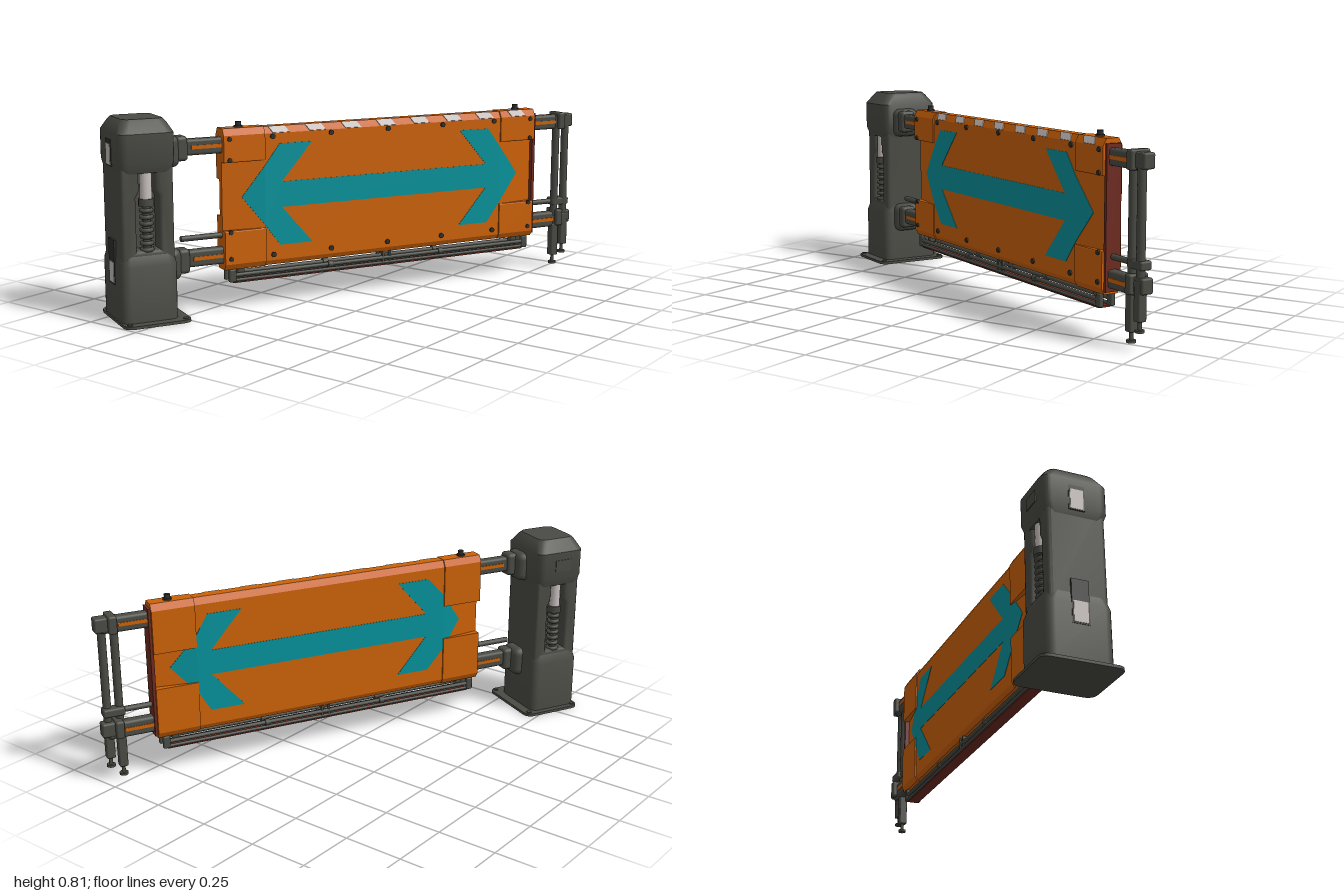
import * as THREE from 'three';
import { toCreasedNormals } from 'three/addons/utils/BufferGeometryUtils.js';
import { RoundedBoxGeometry } from 'three/addons/geometries/RoundedBoxGeometry.js';

function mat(name, color) {
  const m = new THREE.MeshStandardMaterial({ color });
  m.name = name;
  return m;
}
const grey = mat('steelGrey', 0x4a4b44), dark = mat('darkMetal', 0x2e2f2b), orange = mat('orange', 0xcc6106);
const teal = mat('teal', 0x06919a), red = mat('darkRed', 0x6e2b20), light = mat('lightGrey', 0xc8c0be);

const PANEL = 0.037, PAD = 0.043, END = 0.75, MID = 0.57; // half thicknesses, panel ends

function add(parent, name, geo, material, x = 0, y = 0, z = 0) {
  const m = new THREE.Mesh(geo, material);
  m.name = name;
  m.position.set(x, y, z);
  parent.add(m);
  return m;
}
const box = (w, h, d) => new THREE.BoxGeometry(w, h, d);
const rbox = (w, h, d, r) => new RoundedBoxGeometry(w, h, d, 2, r);
const cyl = (r, h, n = 16) => new THREE.CylinderGeometry(r, r, h, n);
const rodX = (r, l) => cyl(r, l, 12).rotateZ(Math.PI / 2);
const shapeOf = pts => new THREE.Shape(pts.map(p => new THREE.Vector2(...p)));

// Stack of rounded rectangles: rows of [y, half width, half depth, corner radius]
function loft(rows) {
  const pos = [], idx = [], n = 20;
  for (const [y, hx, hz, r] of rows) {
    for (let c = 0; c < 4; c++) for (let k = 0; k < 5; k++) {
      const a = (c + k / 4) * Math.PI / 2;
      const sx = c === 0 || c === 3 ? 1 : -1, sz = c < 2 ? 1 : -1;
      pos.push(sx * (hx - r) + r * Math.cos(a), y, sz * (hz - r) + r * Math.sin(a));
    }
  }
  for (let i = 0; i < rows.length - 1; i++) for (let j = 0; j < n; j++) {
    const a = i * n + j, b = i * n + (j + 1) % n;
    idx.push(a, a + n, b, b, a + n, b + n);
  }
  const last = (rows.length - 1) * n;
  for (let j = 1; j < n - 1; j++) idx.push(0, j, j + 1, last, last + j + 1, last + j);
  const g = new THREE.BufferGeometry();
  g.setAttribute('position', new THREE.Float32BufferAttribute(pos, 3));
  g.setIndex(idx);
  return toCreasedNormals(g, 0.6);
}

// Chamfered slab running along x from x0 to x1
function slab(x0, x1, y0, y1, t, topCut, lowCut) {
  const s = shapeOf([[-t, y0 + lowCut], [-t + lowCut * 0.55, y0], [t - lowCut * 0.55, y0], [t, y0 + lowCut],
    [t, y1 - topCut], [t - topCut * 0.55, y1], [-t + topCut * 0.55, y1], [-t, y1 - topCut]]);
  return new THREE.ExtrudeGeometry(s, { depth: x1 - x0, bevelEnabled: false })
    .rotateY(Math.PI / 2).translate(x0, 0, 0);
}

// Half thickness of the centre band, thinning towards both ends
const surface = x => PANEL - Math.max(0, Math.abs(x) - MID) / (END - MID) * 0.024;

// Thin painted plate that follows the band surface
function paint(pts) {
  const g = new THREE.ExtrudeGeometry(shapeOf(pts), { depth: 0.004, bevelEnabled: false });
  const p = g.attributes.position;
  for (let i = 0; i < p.count; i++) p.setZ(i, p.getZ(i) + surface(p.getX(i)) - 0.0025);
  g.computeVertexNormals();
  return g;
}

function buildPost() {
  const post = new THREE.Group();
  post.name = 'post';
  const base = new THREE.Group();
  base.name = 'postBase';
  base.position.set(0.018, 0, 0.008);
  post.add(base);
  add(base, 'basePlate', loft([[0, 0.138, 0.168, 0.035], [0.012, 0.138, 0.168, 0.035]]), grey);
  for (const sx of [-1, 1]) for (const sz of [-1, 1])
    add(base, 'anchorBolt', cyl(0.011, 0.008, 8), grey, sx * 0.115, 0.013, sz * 0.145);
  add(post, 'postFoot', loft([[0.01, 0.115, 0.135, 0.035], [0.235, 0.115, 0.135, 0.035], [0.275, 0.108, 0.12, 0.035]]), grey);
  add(post, 'postHead', loft([[0.6, 0.108, 0.12, 0.035], [0.64, 0.115, 0.135, 0.035], [0.755, 0.115, 0.135, 0.035],
    [0.795, 0.095, 0.105, 0.035], [0.808, 0.083, 0.093, 0.03]]), grey);
  // Middle of the post with an open window on both faces
  const s = shapeOf([[-0.09, 0.25], [0.09, 0.25], [0.09, 0.65], [-0.09, 0.65]]);
  s.holes.push(new THREE.Path([[-0.064, 0.278], [0.064, 0.278], [0.064, 0.51], [0.05, 0.535], [0.05, 0.63],
    [-0.05, 0.63], [-0.05, 0.535], [-0.064, 0.51]].map(p => new THREE.Vector2(...p))));
  const middle = new THREE.ExtrudeGeometry(s, { depth: 0.204, bevelSize: 0.018, bevelThickness: 0.018, bevelSegments: 3 });
  add(post, 'postMiddle', toCreasedNormals(middle, 0.6), grey, 0, 0, -0.102);
  add(post, 'windowWall', box(0.15, 0.38, 0.12), grey, 0, 0.45, 0);
  for (const side of [-1, 1]) {
    const z = side * 0.094;
    add(post, 'piston', cyl(0.024, 0.13), light, 0, 0.545, z);
    add(post, 'pistonCap', cyl(0.026, 0.02), grey, 0, 0.615, z);
    add(post, 'springCore', cyl(0.016, 0.2), grey, 0, 0.38, z);
    add(post, 'springCollar', cyl(0.03, 0.03), grey, 0, 0.483, z);
    for (let i = 0; i < 7; i++)
      add(post, 'springCoil', new THREE.TorusGeometry(0.02, 0.009, 8, 16).rotateX(Math.PI / 2), grey, 0, 0.295 + i * 0.026, z);
  }
  // Outer face hatches with light plates, and rear hatch
  add(post, 'upperHatch', box(0.02, 0.105, 0.066), dark, -0.107, 0.675, 0);
  add(post, 'upperIndicator', box(0.006, 0.085, 0.054), light, -0.116, 0.668, 0);
  add(post, 'lowerHatch', box(0.02, 0.18, 0.07), dark, -0.107, 0.24, 0);
  add(post, 'lowerIndicator', box(0.006, 0.085, 0.058), light, -0.116, 0.198, 0);
  add(post, 'rearHatch', box(0.08, 0.05, 0.006), grey, -0.01, 0.695, -0.135);
  // Arm sockets
  for (const y of [0.67, 0.215]) {
    add(post, 'armSocket', rbox(0.08, 0.13, 0.12, 0.03), grey, 0.11, y, 0.03);
    add(post, 'armCollar', rbox(0.05, 0.1, 0.07, 0.015), grey, 0.16, y + 0.008, 0.045);
  }
  post.position.set(-1.081, 0, -0.045);
  return post;
}

// Double-headed arrow, its outline moved sideways by shift
function buildArrow(shift) {
  const arrow = new THREE.Group();
  arrow.name = 'arrow';
  const c = 0.463, inner = [[0.505, 0.211], [0.358, 0.211], [0.496, 0.053]];
  const upper = [[MID, 0.125], ...inner.map(([x, y]) => [x + shift, y]),
    ...inner.map(([x, y]) => [shift - x, y]).reverse(), [-MID, 0.125]];
  const outline = [...upper, ...upper.map(([x, y]) => [x, -y]).reverse()].map(([x, y]) => [x, y + c]);
  add(arrow, 'arrowBody', paint(outline), teal);
  for (const s of [-1, 1])
    add(arrow, 'arrowTip', paint([[s * MID, c - s * 0.125], [s * 0.668 + shift, c], [s * MID, c + s * 0.125]]), teal);
  return arrow;
}

function buildPanel() {
  const panel = new THREE.Group();
  panel.name = 'barrierPanel';
  add(panel, 'panelBody', slab(-MID, MID, 0.17, 0.745, PANEL, 0.028, 0.02), orange);
  for (const s of [-1, 1]) {
    const x0 = s > 0 ? MID : -END, x1 = s > 0 ? END : -MID, xm = (x0 + x1) / 2;
    add(panel, 'upperCornerPad', slab(x0, x1, 0.61, 0.747, PAD, 0.028, 0.004), orange);
    add(panel, 'lowerCornerPad', slab(x0, x1, 0.168, 0.33, PAD, 0.004, 0.024), orange);
    // The rear halves of the pads reach further over the band
    add(panel, 'upperRearPad', box(x1 - x0, 0.085, PAD), orange, xm, 0.58, -PAD / 2);
    add(panel, 'lowerRearPad', box(x1 - x0, 0.07, PAD), orange, xm, 0.351, -PAD / 2);
    // Tapered band between the corner pads
    const band = box(END - MID, 0.29, 2 * PANEL).translate(xm, 0.47, 0);
    const p = band.attributes.position;
    for (let i = 0; i < p.count; i++) p.setZ(i, Math.sign(p.getZ(i)) * surface(p.getX(i)));
    band.computeVertexNormals();
    add(panel, 'taperedBand', band, orange);
    add(panel, 'topKnob', cyl(0.012, 0.03), dark, s * 0.67, 0.755, 0);
    add(panel, 'topKnobBase', cyl(0.018, 0.008), dark, s * 0.67, 0.75, 0);
    for (const y of [0.705, 0.62, 0.325, 0.214])
      add(panel, 'padBolt', cyl(0.01, 0.01, 10).rotateX(Math.PI / 2), dark, s * 0.725, y, PAD);
  }
  add(panel, 'endPlate', box(0.014, 0.55, 0.066), red, END + 0.004, 0.453, 0);
  for (const y of [0.705, 0.214]) for (const x of [-0.535, -0.27, 0, 0.27, 0.535])
    add(panel, 'panelBolt', cyl(0.011, 0.012, 10).rotateX(Math.PI / 2), dark, x, y, PANEL);
  // Reflective slanted marks along the upper front chamfer
  const mark = new THREE.ExtrudeGeometry(shapeOf([[-0.045, 0.015], [-0.028, -0.015], [0.045, -0.015], [0.028, 0.015]]),
    { depth: 0.004, bevelEnabled: false });
  for (let i = 0; i < 8; i++) {
    const x = -0.505 + i * 0.1655, out = Math.abs(x) > MID ? PAD - PANEL : 0;
    add(panel, 'reflector', mark, light, x, 0.731 + out * 0.3, 0.0285 + out).rotation.x = -0.503;
  }
  const back = buildArrow(-0.014);
  back.rotation.y = Math.PI;
  panel.add(buildArrow(0), back);
  return panel;
}

function buildRails() {
  const rails = new THREE.Group();
  rails.name = 'rails';
  // Arms carrying the panel, visible at both ends
  for (const [y, h] of [[0.68, 0.066], [0.228, 0.07]]) {
    add(rails, 'arm', rbox(1.9, h, 0.045, 0.012), grey, 0, y, 0);
    add(rails, 'armStripe', box(1.76, 0.015, 0.05), orange, 0, y, 0);
  }
  add(rails, 'thinRod', rodX(0.012, 1.85), grey, 0, 0.31, 0);
  // Guard frame below the panel
  for (const z of [-0.026, 0.026]) {
    add(rails, 'guardTopRail', rodX(0.009, 1.44), grey, 0, 0.143, z);
    add(rails, 'guardLowRail', rodX(0.007, 1.42), grey, 0, 0.122, z);
    for (const s of [-1, 1]) {
      add(rails, 'guardEnd', rbox(0.03, 0.055, 0.02, 0.006), grey, s * 0.715, 0.142, z);
      add(rails, 'guardPost', box(0.01, 0.05, 0.012), grey, s * 0.016, 0.147, z);
      add(rails, 'guardClip', rodX(0.014, 0.022), grey, s * 0.27, 0.143, z);
    }
  }
  for (const x of [-0.67, 0.67]) add(rails, 'guardHanger', rbox(0.03, 0.035, 0.03, 0.006), grey, x, 0.158, 0);
  add(rails, 'guardBridge', box(0.042, 0.01, 0.055), grey, 0, 0.165, 0);
  add(rails, 'guardStrip', box(1.42, 0.008, 0.05), red, 0, 0.113, 0);
  return rails;
}

function buildLatch() {
  const latch = new THREE.Group();
  latch.name = 'latchEnd';
  for (const y of [0.685, 0.237]) {
    add(latch, 'latchFlange', rbox(0.035, 0.075, 0.085, 0.008), grey, 0.905, y, 0);
    add(latch, 'latchBlock', rbox(0.065, 0.06, 0.05, 0.008), grey, 0.942, y, 0);
  }
  add(latch, 'rodClamp', rbox(0.09, 0.035, 0.05, 0.008), grey, 0.92, 0.31, 0);
  // Drop rods with levelling feet
  for (const [x, low] of [[0.892, 0.018], [0.942, 0.065]]) {
    add(latch, 'dropRod', cyl(0.017, 0.5), grey, x, 0.46, 0.01);
    add(latch, 'legSleeve', rbox(0.036, 0.15, 0.036, 0.006), grey, x, low + 0.115, 0.01);
    add(latch, 'footStem', cyl(0.008, 0.06, 10), grey, x, low + 0.03, 0.01);
    add(latch, 'footPad', cyl(0.018, 0.01), grey, x, low + 0.005, 0.01);
  }
  return latch;
}

export function createModel() {
  const model = new THREE.Group();
  model.name = 'barrierGate';
  const gate = new THREE.Group();
  gate.name = 'gate';
  gate.add(buildPost(), buildPanel(), buildRails(), buildLatch());
  gate.rotation.y = -THREE.MathUtils.degToRad(26.5);
  gate.position.set(0.126, 0, 0.125);
  model.add(gate);
  return model;
}
